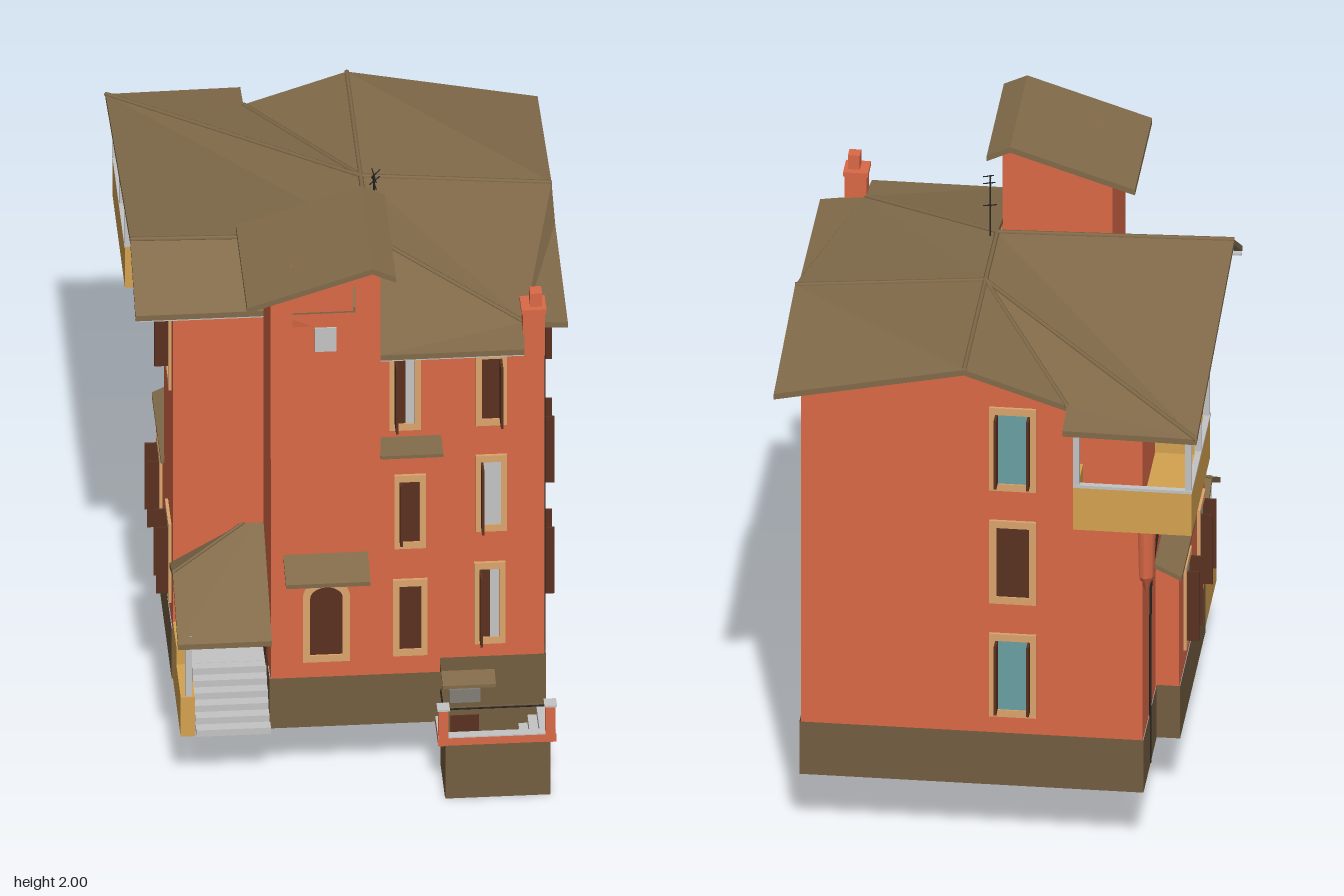
import * as THREE from 'three';

const mat = (name, color) => {
  const m = new THREE.MeshStandardMaterial({ color, side: THREE.DoubleSide });
  m.name = name;
  return m;
};

export function createModel() {
  const house = new THREE.Group();
  house.name = 'house';
  const red = mat('terracotta plaster', 0xdb6947), roofM = mat('roof tile', 0x826b4a),
    stone = mat('brown stone', 0x735d40), tan = mat('window surround', 0xdca46c),
    ochre = mat('ochre plaster', 0xd4a250), wood = mat('shutter wood', 0x5a3120),
    glass = mat('teal glass', 0x6aa0a3), grey = mat('pale grey', 0xc4c4c4),
    dark = mat('dark metal', 0x26231f), soffit = mat('soffit grey', 0x827e76);

  const add = (name, geo, m, parent = house) => {
    const mesh = new THREE.Mesh(geo, m);
    mesh.name = name;
    parent.add(mesh);
    return mesh;
  };
  // box given by its min and max corners
  const box = (name, m, x0, x1, y0, y1, z0, z1, parent) => {
    const b = add(name, new THREE.BoxGeometry(x1 - x0, y1 - y0, z1 - z0), m, parent);
    b.position.set((x0 + x1) / 2, (y0 + y1) / 2, (z0 + z1) / 2);
    return b;
  };
  const tube = (name, m, pts, r = 0.004, tension = 0) => {
    const v = pts.map(p => new THREE.Vector3(...p));
    const path = new THREE.CatmullRomCurve3(v, false, 'catmullrom', tension);
    return add(name, new THREE.TubeGeometry(path, v.length * 8, r, 6), m);
  };
  const buffer = (pos) => {
    const g = new THREE.BufferGeometry();
    g.setAttribute('position', new THREE.Float32BufferAttribute(pos.flat(), 3));
    g.computeVertexNormals();
    return g;
  };
  // open ring of wall faces; each point is [x, z, optional top height]
  const walls = (name, m, pts, y0, y1) => {
    const pos = [];
    pts.forEach((a, i) => {
      const b = pts[(i + 1) % pts.length], ta = a[2] ?? y1, tb = b[2] ?? y1;
      const p = [a[0], y0, a[1]], q = [b[0], y0, b[1]], r = [b[0], tb, b[1]], s = [a[0], ta, a[1]];
      pos.push(p, r, q, p, s, r);
    });
    return add(name, buffer(pos), m);
  };
  // thin sloping slab: tiled top and rim, grey soffit
  const slab = (name, pts, t = 0.02) => {
    const v = pts.map(p => new THREE.Vector3(...p));
    const n = v[1].clone().sub(v[0]).cross(v[2].clone().sub(v[0]));
    if (n.y < 0) pts = [...pts].reverse();
    const low = pts.map(p => [p[0], p[1] - t, p[2]]), top = [], rim = [], under = [];
    for (let i = 1; i < pts.length - 1; i++) {
      top.push(pts[0], pts[i], pts[i + 1]);
      under.push(low[0], low[i + 1], low[i]);
    }
    pts.forEach((p, i) => {
      const j = (i + 1) % pts.length;
      rim.push(p, low[i], low[j], p, low[j], pts[j]);
    });
    const g = buffer([...top, ...rim, ...under]);
    const k = top.length + rim.length;
    g.addGroup(0, k, 0);
    g.addGroup(k, under.length, 1);
    return add(name, g, [roofM, soffit]);
  };

  // Main walls in three bands, then the plinth
  const back = [[-0.485, -0.67], [0.61, -0.67], [0.61, 0.64]];
  const front = [[0.27, 0.64], [0.27, 0.72], [-0.27, 0.72], [-0.27, 0.41], [-0.56, 0.41]];
  const plan = [...back, ...front, [-0.56, -0.3], [-0.485, -0.3]];
  walls('lowerWalls', red, plan, 0.4, 0.82);
  walls('middleWalls', red, [...back, ...front, [-0.56, 0.04], [-0.485, 0.04]], 0.82, 1.25);
  walls('upperWalls', red, [[-0.485, -0.67, 1.62], [-0.25, -0.67, 1.61], [0.08, -0.67, 1.72], [0.61, -0.67, 1.61],
    [0.61, -0.25, 1.62], [0.61, -0.13, 1.68], [0.61, -0.01, 1.62], [0.61, 0.64, 1.61], [0.08, 0.64, 1.61],
    [-0.27, 0.41, 1.61], [-0.56, 0.41, 1.61], [-0.56, 0.2, 1.74], [-0.56, 0.04, 1.71], [-0.485, 0.04, 1.71]], 1.25);
  walls('plinth', stone, plan.map(([x, z]) => [x + Math.sign(x) * 0.004, z + Math.sign(z) * 0.004]), 0.22, 0.41);
  slab('frontLedgeRoof', [[0.08, 1.262, 0.63], [0.28, 1.262, 0.63], [0.28, 1.255, 0.74], [0.08, 1.255, 0.74]], 0.012);
  slab('sideLedgeRoof', [[-0.48, 0.865, -0.33], [-0.48, 0.865, 0.06], [-0.572, 0.82, 0.06], [-0.572, 0.82, -0.33]], 0.015);

  // Tower with a loggia opening under its gable
  const gable = new THREE.Shape([[-0.27, 1.25], [0.08, 1.25], [0.08, 1.965], [0.05, 1.975], [-0.27, 1.88]].map(p => new THREE.Vector2(...p)));
  add('towerBack', new THREE.ShapeGeometry(gable), red).position.z = 0.36;
  const face = gable.clone();
  face.holes.push(new THREE.Path([[-0.2, 1.75], [-0.2, 1.89], [0, 1.91], [0, 1.75]].map(p => new THREE.Vector2(...p))));
  add('towerFront', new THREE.ShapeGeometry(face), red).position.z = 0.72;
  box('towerLeftWall', red, -0.271, -0.269, 1.25, 1.88, 0.36, 0.72);
  box('towerRightWall', red, 0.079, 0.081, 1.25, 1.965, 0.36, 0.72);
  box('loggiaBack', red, -0.2, 0, 1.74, 1.92, 0.62, 0.625);
  box('towerPanel', grey, -0.13, -0.06, 1.655, 1.745, 0.717, 0.725);
  slab('towerRoofLeft', [[-0.35, 1.87, 0.78], [0.05, 2, 0.78], [0.05, 2, 0.3], [-0.35, 1.87, 0.3]]);
  slab('towerRoofRight', [[0.05, 2, 0.78], [0.125, 1.965, 0.78], [0.125, 1.965, 0.3], [0.05, 2, 0.3]]);
  tube('towerRidge', roofM, [[0.05, 1.993, 0.3], [0.05, 1.993, 0.78]], 0.006);

  // Main roof, fanned around the peak and its ridges
  const A = [0.08, 1.75, -0.13], B = [0.08, 1.745, 0.2], R = [0.69, 1.695, -0.13], K = [0.08, 1.75, -0.73],
    L = [-0.68, 1.765, 0.2], C = [-0.68, 1.615, -0.86], V = [-0.25, 1.64, -0.73], H = [0.55, 1.64, 0.58];
  slab('roofBackRight', [A, K, [0.69, 1.625, -0.73], [0.69, 1.64, -0.28], R]);
  slab('roofRight', [B, A, R, [0.69, 1.64, 0.02], [0.69, 1.625, 0.57], H]);
  slab('roofFrontRight', [B, H, [0.54, 1.625, 0.715], [0.08, 1.625, 0.715]]);
  slab('roofBackLeft', [A, V, K]);
  slab('roofBalcony', [A, C, [-0.25, 1.62, -0.86], V]);
  slab('roofLeft', [A, B, L, C]);
  slab('roofFrontLeft', [B, L, [-0.68, 1.62, 0.425], [0.08, 1.62, 0.425]]);
  [[A, B], [A, R], [A, K], [A, V], [A, C], [B, L], [B, H]].forEach(p => tube('roofRidge', roofM, p, 0.008));
  box('frontGutter', grey, 0.08, 0.54, 1.598, 1.606, 0.69, 0.71);
  box('leftGutter', grey, -0.68, -0.27, 1.594, 1.602, 0.405, 0.422);

  // Chimney and aerial
  box('chimney', red, 0.542, 0.612, 1.55, 1.73, 0.57, 0.642);
  box('chimneyCap', red, 0.536, 0.616, 1.715, 1.73, 0.564, 0.648);
  box('chimneyTop', red, 0.565, 0.603, 1.73, 1.78, 0.587, 0.63);
  tube('aerialMast', dark, [[0.1, 1.73, 0.18], [0.1, 1.96, 0.18]], 0.003);
  [1.85, 1.93, 1.955].forEach((y, i) => {
    tube('aerialArm', dark, [[0.08 + i * 0.005, y, 0.19], [0.12, y + 0.01, 0.16]], 0.002);
    tube('aerialRod', dark, [[0.095, y + 0.01, 0.16 - i * 0.005], [0.105, y - 0.01, 0.205]], 0.002);
  });

  // Windows: surround, two leaves, and shutters standing open on the sides listed in open
  const outline = (w, h, arch, C2) => {
    const s = new C2();
    const r = w / 2, rise = w * 0.4, top = arch ? h / 2 - rise : h / 2;
    s.moveTo(-r, -h / 2);
    s.lineTo(r, -h / 2);
    s.lineTo(r, top);
    if (arch) s.absellipse(0, top, r, rise, 0, Math.PI); else s.lineTo(-r, top);
    s.closePath();
    return s;
  };
  const FRONT = 0, RIGHT = Math.PI / 2, BACK = Math.PI, LEFT = -Math.PI / 2;
  const windowAt = (turn, x, y, z, w, h, leaves, open = [], arch = false, depth = 0.048) => {
    const g = new THREE.Group();
    g.name = 'window';
    g.position.set(x, y, z);
    g.rotation.y = turn;
    house.add(g);
    const s = outline(w, h, arch, THREE.Shape), iw = w > 0.12 ? w - 0.046 : w - 0.04, ih = h - 0.05;
    s.holes.push(outline(iw, ih, arch, THREE.Path));
    add('windowSurround', new THREE.ExtrudeGeometry(s, { depth: 0.012, bevelEnabled: false }), tan, g).position.z = -0.002;
    if (arch) {
      add('archedShutter', new THREE.ExtrudeGeometry(outline(iw, ih, true, THREE.Shape), { depth: 0.007, bevelEnabled: false }), wood, g).position.z = -0.003;
    } else {
      leaves.forEach((m, i) => box('windowLeaf', m, i ? 0 : -iw / 2, i ? iw / 2 : 0, -ih / 2, ih / 2, -0.003, 0.005, g));
    }
    open.forEach(side => {
      const e = side * iw / 2;
      box('openShutter', wood, e - 0.004, e + 0.004, -ih / 2, ih / 2, 0.005, depth, g);
    });
  };
  const shut = [wood, wood], clear = [glass, glass], halfL = [glass, wood], both = [-1, 1];
  windowAt(FRONT, 0.165, 1.44, 0.64, 0.1, 0.3, [wood, grey], [-1], false, 0.068);
  windowAt(FRONT, 0.44, 1.435, 0.64, 0.1, 0.28, shut, [1], false, 0.068);
  windowAt(FRONT, 0.175, 1.03, 0.72, 0.1, 0.28, shut, [-1], false, 0.036);
  windowAt(FRONT, 0.44, 1.035, 0.64, 0.1, 0.29, [grey, grey], [-1], false, 0.068);
  windowAt(FRONT, 0.175, 0.625, 0.72, 0.11, 0.29, shut);
  windowAt(FRONT, 0.435, 0.615, 0.64, 0.1, 0.31, [wood, grey], [-1], false, 0.068);
  windowAt(FRONT, -0.093, 0.625, 0.72, 0.15, 0.31, shut, [], true);
  windowAt(RIGHT, 0.61, 1.44, 0.36, 0.15, 0.3, shut, [1]);
  windowAt(RIGHT, 0.61, 1.04, 0.365, 0.15, 0.3, halfL, both);
  windowAt(RIGHT, 0.61, 0.615, 0.365, 0.15, 0.3, halfL, both);
  windowAt(RIGHT, 0.61, 1.455, -0.12, 0.15, 0.33, shut, [], true);
  windowAt(RIGHT, 0.61, 1.045, -0.12, 0.15, 0.3, shut);
  windowAt(RIGHT, 0.61, 0.615, -0.12, 0.15, 0.3, clear, both);
  windowAt(BACK, -0.07, 1.44, -0.67, 0.15, 0.3, clear, both);
  windowAt(BACK, -0.07, 1.03, -0.67, 0.15, 0.3, shut);
  windowAt(BACK, -0.07, 0.62, -0.67, 0.15, 0.3, clear, both);
  windowAt(LEFT, -0.485, 1.43, -0.06, 0.15, 0.3, shut, [-1]);
  windowAt(LEFT, -0.56, 1.43, 0.3, 0.13, 0.28, shut, [-1]);
  windowAt(LEFT, -0.56, 0.62, -0.1, 0.15, 0.3, clear, both);
  windowAt(LEFT, -0.56, 0.62, 0.28, 0.15, 0.3, clear, both);

  // Canopy over the arched window
  slab('canopy', [[-0.23, 0.88, 0.72], [0.04, 0.88, 0.72], [0.04, 0.84, 0.835], [-0.23, 0.84, 0.835]], 0.015);
  [-0.21, 0.02].forEach(x => box('canopyBracket', dark, x - 0.012, x + 0.012, 0.8, 0.835, 0.72, 0.745));

  // Corner balcony: L-shaped floor and parapet, corbels, posts
  box('balconyFloorSide', ochre, -0.66, -0.485, 1.245, 1.26, -0.82, -0.3);
  box('balconyFloorBack', ochre, -0.485, -0.28, 1.245, 1.26, -0.82, -0.67);
  box('balconyParapetSide', ochre, -0.66, -0.645, 1.245, 1.4, -0.82, -0.3);
  box('balconyParapetBack', ochre, -0.66, -0.28, 1.245, 1.4, -0.825, -0.81);
  box('balconyParapetEnd', ochre, -0.66, -0.485, 1.245, 1.4, -0.315, -0.3);
  box('balconyParapetEnd', ochre, -0.295, -0.28, 1.245, 1.4, -0.82, -0.67);
  for (let i = 0; i < 5; i++) {
    box('balconyCorbel', ochre, -0.63 + i * 0.02, -0.44, 1.231 - i * 0.015, 1.246 - i * 0.015, -0.79 + i * 0.025, -0.5);
  }
  const pendant = add('cornerPendant', new THREE.CylinderGeometry(0.032, 0.027, 0.2, 8), red);
  pendant.position.set(-0.495, 1.1, -0.655);
  const tip = add('pendantTip', new THREE.ConeGeometry(0.027, 0.06, 8), red);
  tip.position.set(-0.495, 0.97, -0.655);
  tip.rotation.x = Math.PI;
  [[-0.65, -0.815], [-0.65, -0.31], [-0.65, -0.55], [-0.29, -0.815]].forEach(([x, z]) => box('balconyPost', grey, x - 0.01, x + 0.01, 1.4, 1.603, z - 0.01, z + 0.01));
  box('balconyRailSide', grey, -0.662, -0.642, 1.398, 1.408, -0.825, -0.3);
  box('balconyRailBack', grey, -0.66, -0.28, 1.398, 1.408, -0.828, -0.808);

  // Entrance porch: steps, landing, side door, parapet, posts, hipped roof
  for (let i = 0; i < 6; i++) box('porchStep', grey, -0.51, -0.272, 0.22 + i * 0.024, 0.244 + i * 0.024, 0.72 - i * 0.035, 0.755 - i * 0.035);
  box('porchLanding', grey, -0.51, -0.272, 0.345, 0.365, 0.41, 0.55);
  box('porchBackWall', red, -0.56, -0.27, 0.365, 0.42, 0.412, 0.418);
  box('porchParapet', ochre, -0.56, -0.515, 0.22, 0.37, 0.41, 0.75);
  box('porchParapetUpper', ochre, -0.56, -0.53, 0.37, 0.44, 0.42, 0.56);
  [0.5, 0.735].forEach(z => box('porchPost', grey, -0.545, -0.523, 0.36, 0.6, z - 0.011, z + 0.011));
  box('porchBeam', grey, -0.545, -0.27, 0.565, 0.58, 0.73, 0.745);
  box('porchDoor', wood, -0.276, -0.267, 0.36, 0.61, 0.455, 0.575);
  const hip = [-0.57, 0.71, 0.54], high = [-0.27, 0.825, 0.37];
  slab('porchRoof', [[-0.57, 0.585, 0.77], [-0.27, 0.585, 0.77], high, hip]);
  slab('porchRoofHip', [hip, high, [-0.57, 0.66, 0.41]]);
  tube('porchRidge', roofM, [hip, high], 0.006);

  // Basement stairwell with red parapet
  box('stairwellFrontWall', stone, 0.28, 0.615, 0, 0.22, 0.828, 0.838);
  box('stairwellHouseWall', stone, 0.28, 0.615, 0, 0.22, 0.64, 0.647);
  box('stairwellEndWall', stone, 0.278, 0.286, 0, 0.22, 0.645, 0.83);
  box('stairwellFloor', grey, 0.285, 0.42, 0, 0.01, 0.647, 0.83);
  for (let i = 0; i < 7; i++) {
    const x = 0.41 + i * 0.029, y = 0.03 * (i + 1);
    box('basementTread', grey, x, x + 0.03, y - 0.005, y, 0.647, 0.83);
    box('basementRiser', grey, x, x + 0.004, y - 0.03, y, 0.647, 0.83);
  }
  box('basementDoor', wood, 0.31, 0.4, 0.01, 0.19, 0.637, 0.651);
  box('cellarWindow', soffit, 0.305, 0.405, 0.24, 0.29, 0.642, 0.652);
  box('frontCurb', red, 0.255, 0.632, 0.21, 0.238, 0.82, 0.85);
  box('frontCurbCap', grey, 0.255, 0.632, 0.238, 0.242, 0.82, 0.85);
  box('sideCurb', red, 0.255, 0.285, 0.21, 0.238, 0.645, 0.84);
  box('sideCurbCap', grey, 0.255, 0.285, 0.238, 0.242, 0.645, 0.84);
  [0.272, 0.614].forEach(x => {
    box('parapetPost', red, x - 0.016, x + 0.016, 0.21, 0.345, 0.82, 0.852);
    box('postCap', grey, x - 0.02, x + 0.02, 0.345, 0.352, 0.815, 0.857);
  });
  tube('handrail', dark, [[0.272, 0.34, 0.65], [0.272, 0.34, 0.836], [0.614, 0.34, 0.836]], 0.003);
  slab('cellarCanopy', [[0.28, 0.36, 0.64], [0.45, 0.36, 0.64], [0.45, 0.345, 0.71], [0.28, 0.345, 0.71]], 0.012);

  // Downpipes and service pipes
  tube('downpipe', dark, [[0.616, 1.61, 0.562], [0.616, 0.22, 0.562]], 0.004);
  tube('servicePipeRight', dark, [[0.615, 1.235, -0.1], [0.615, 1.22, 0.01], [0.615, 1.17, 0.04], [0.615, 0.87, 0.055],
    [0.615, 0.8, 0.1], [0.615, 0.79, 0.3], [0.615, 0.79, 0.49], [0.615, 0.75, 0.54], [0.615, 0.23, 0.545]], 0.004, 0.5);
  tube('servicePipeLeft', dark, [[-0.49, 1.25, 0.02], [-0.49, 1.1, 0.01], [-0.49, 1.0, -0.08], [-0.49, 0.92, -0.38], [-0.49, 0.82, -0.48], [-0.49, 0.23, -0.49]], 0.004, 0.5);
  return house;
}
